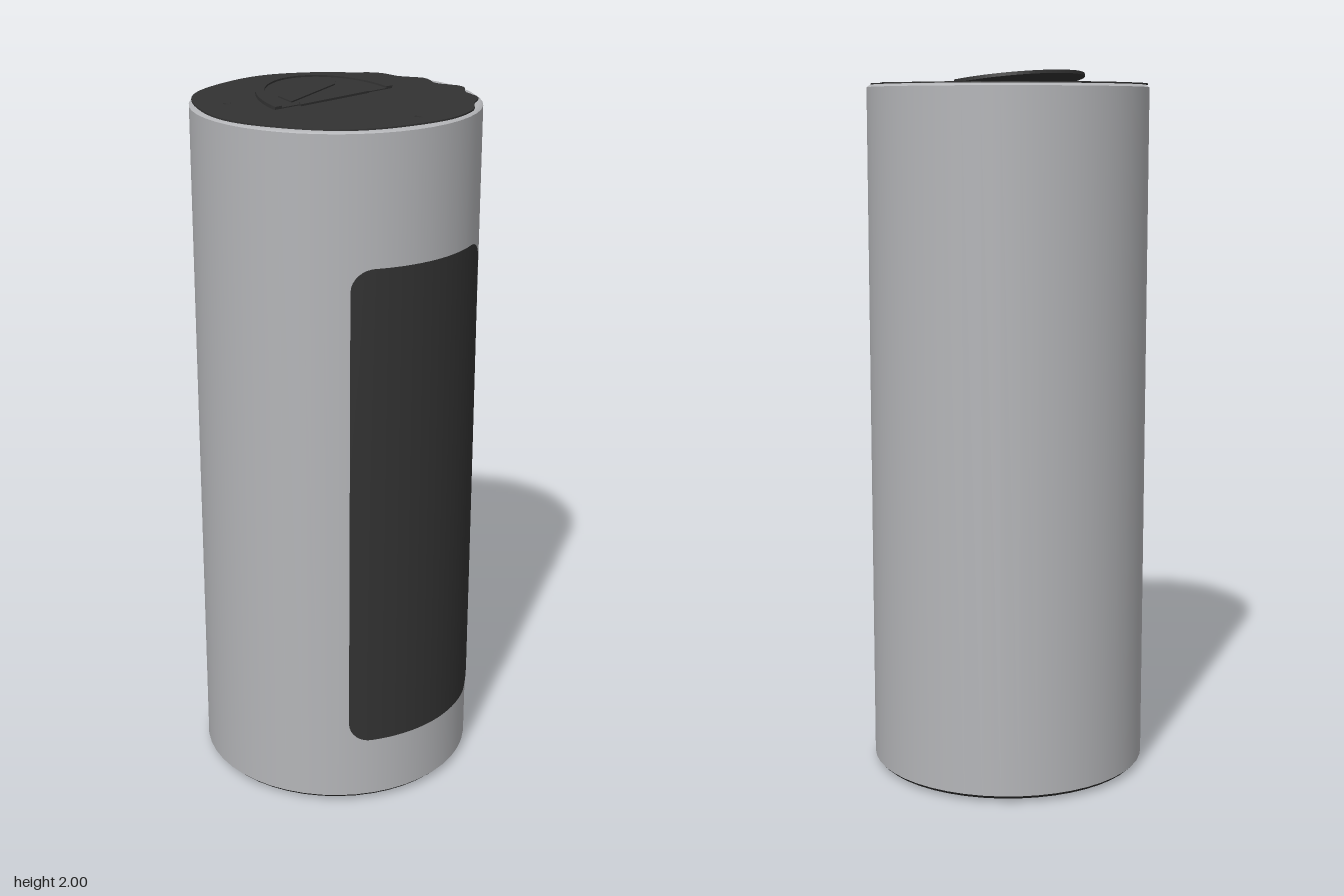
import * as THREE from 'three';

const silver = new THREE.MeshStandardMaterial({ color: 0xb4b5b8 });
silver.name = 'silver';
const charcoal = new THREE.MeshStandardMaterial({ color: 0x323232 });
charcoal.name = 'charcoal';

const R = 0.395;
const TOP = 1.962;

function part(name, geometry, material, parent) {
  const mesh = new THREE.Mesh(geometry, material);
  mesh.name = name;
  parent.add(mesh);
  return mesh;
}

const lathe = (points) =>
  new THREE.LatheGeometry(points.map(([r, y]) => new THREE.Vector2(r, y)), 48);

// Flat outline (x, depth towards the back) extruded upwards
function slab(shape, depth) {
  const geometry = new THREE.ExtrudeGeometry(shape, { depth, bevelEnabled: false, curveSegments: 20 });
  return geometry.rotateX(-Math.PI / 2);
}

// Rounded panel wrapped around the front of the cylinder
function panelGeometry() {
  const y0 = 0.2, y1 = 1.605, corner = 0.06, cols = 20, rows = 60;
  const geometry = new THREE.PlaneGeometry(1, 1, cols, rows);
  const pos = geometry.attributes.position;
  for (let i = 0; i < pos.count; i++) {
    const u = pos.getX(i) + 0.5;
    // rows gather towards both ends so the corners are round
    const v = 0.5 - 0.5 * Math.cos(Math.PI * (pos.getY(i) + 0.5));
    const y = y0 + v * (y1 - y0);
    const d = Math.max(0, corner - Math.min(y - y0, y1 - y));
    const inset = corner - Math.sqrt(Math.max(0, corner * corner - d * d));
    const left = -0.172 + inset;
    const right = 0.312 - 0.03 * v - inset;
    const a0 = Math.asin(left / R), a1 = Math.asin(right / R);
    const a = a0 + u * (a1 - a0);
    pos.setXYZ(i, (R + 0.003) * Math.sin(a), y, (R + 0.003) * Math.cos(a));
  }
  geometry.computeVertexNormals();
  return geometry;
}

// Lid outline, slightly uneven along one side
function lidShape() {
  const points = [];
  for (let i = 0; i < 96; i++) {
    const a = (i / 96) * Math.PI * 2;
    const side = Math.max(0, Math.cos(a - 0.1)) ** 3;
    const r = 0.386 - 0.004 * Math.sin(a * 7) - side * (0.016 + 0.016 * Math.sin(a * 15));
    points.push(new THREE.Vector2(r * Math.cos(a), r * Math.sin(a)));
  }
  return new THREE.Shape(points);
}

function halfDisc(radius) {
  const shape = new THREE.Shape();
  shape.absarc(0, 0, radius, 0, Math.PI, false);
  shape.closePath();
  return shape;
}

function archBand(outer, inner) {
  const shape = new THREE.Shape();
  shape.absarc(0, 0, outer, 0, Math.PI, false);
  shape.absarc(0, 0, inner, Math.PI, 0, true);
  shape.closePath();
  return shape;
}

const polygon = (list) => new THREE.Shape(list.map(([x, y]) => new THREE.Vector2(x, y)));

export function createModel() {
  const model = new THREE.Group();
  model.name = 'canister';

  // Body
  part('bodyWall', lathe([[R, 0.02], [R, 1.955]]), silver, model);
  part('topRim', lathe([[R, 1.955], [0.385, TOP], [0.3, TOP]]), silver, model);
  part('frontPanel', panelGeometry(), charcoal, model);

  // Underside
  part('base', lathe([[0.174, 0.002], [0.385, 0.01], [R, 0.02]]), charcoal, model);
  const core = part('baseDisc', new THREE.CircleGeometry(0.176, 48), silver, model);
  core.rotation.x = Math.PI / 2;

  // Lid
  const lid = part('lid', slab(lidShape(), 0.004), charcoal, model);
  lid.position.y = TOP;

  // Tilted flap, hinged along its straight edge and raised at the back
  const flap = new THREE.Group();
  flap.name = 'flap';
  flap.rotation.order = 'YXZ';
  flap.rotation.set(0.125, 0.21, 0);
  flap.position.set(-0.005, TOP + 0.003, 0.005);
  model.add(flap);
  part('flapPlate', slab(halfDisc(0.21), 0.004), charcoal, flap);
  part('flapArch', slab(archBand(0.215, 0.192), 0.009), charcoal, flap);

  // Raised bars in the middle of the flap
  const rear = part('rearBar', slab(polygon([
    [-0.14, 0.02], [0.08, 0.088], [0.1, 0.108], [0.07, 0.122],
    [-0.06, 0.105], [-0.085, 0.085], [-0.14, 0.075],
  ]), 0.006), charcoal, flap);
  rear.position.y = 0.002;
  const front = part('frontBar', slab(polygon([
    [-0.135, -0.012], [0.12, -0.006], [0.125, 0.006], [-0.125, 0.008],
  ]), 0.006), charcoal, flap);
  front.position.y = 0.002;

  // Small marks on the lid
  for (const [x, z] of [[-0.285, -0.08], [0.06, 0.315]]) {
    const mark = part('lidMark', new THREE.CylinderGeometry(0.012, 0.014, 0.004, 3), charcoal, model);
    mark.position.set(x, TOP + 0.005, z);
  }

  return model;
}
